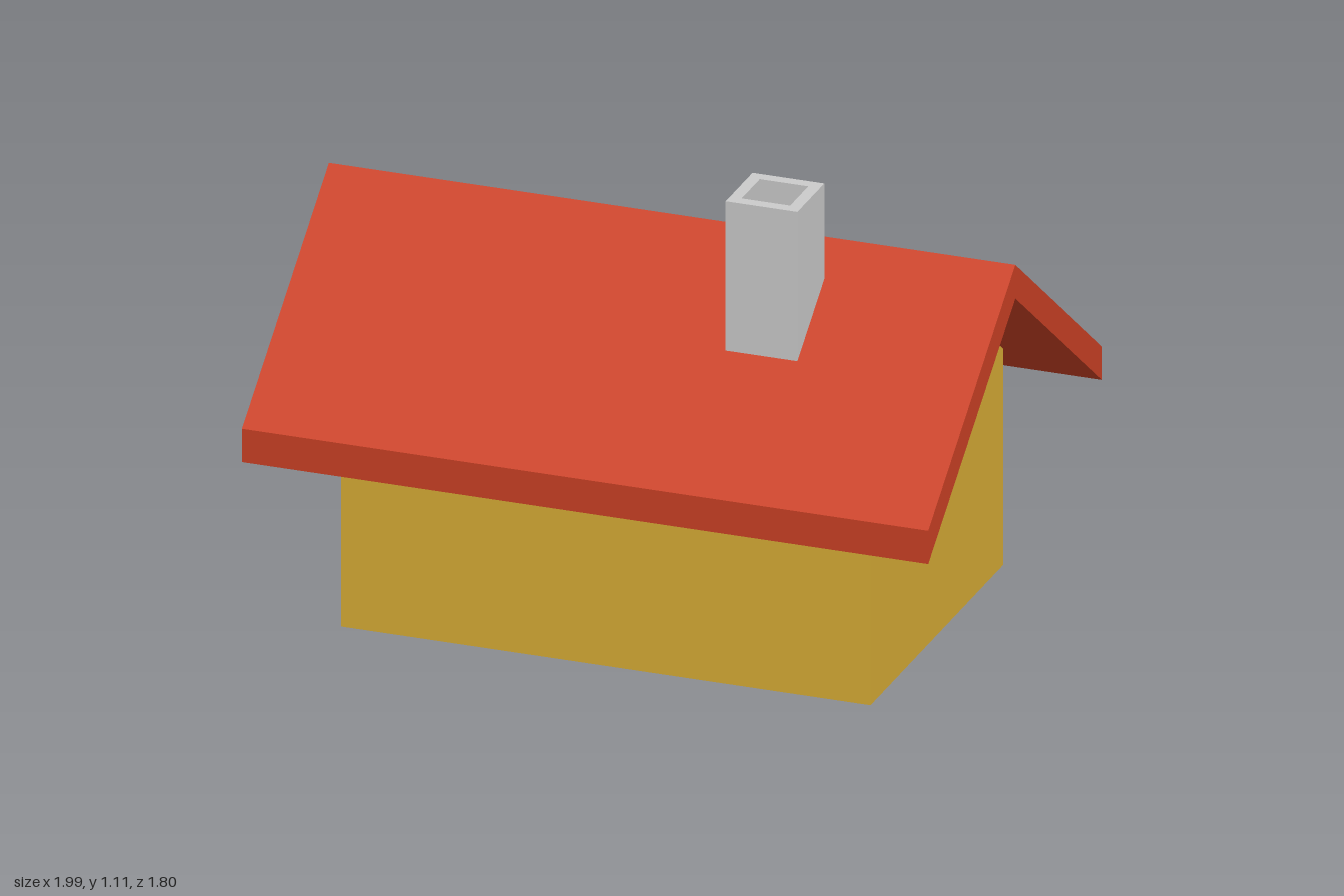
import * as THREE from 'three';

// Heights and half sizes of the house
const RIDGE = 0.94, EAVE_TOP = 0.512, EAVE_LOW = 0.43, APEX = 0.857;
const ROOF_W = 0.56, ROOF_L = 0.828;
const WALL_W = 0.427, WALL_L = 0.639;

const paint = (color) => new THREE.MeshStandardMaterial({ color, flatShading: true });

const polygon = (points) => new THREE.Shape(points.map(([x, y]) => new THREE.Vector2(x, y)));

const extrude = (shape, depth) =>
  new THREE.ExtrudeGeometry(shape, { depth, bevelEnabled: false });

// Rectangular ring, centred on its own origin
function ring(w, h, border, depth) {
  const rect = (a, b) => [[-a, -b], [a, -b], [a, b], [-a, b]];
  const shape = polygon(rect(w / 2, h / 2));
  shape.holes.push(polygon(rect(w / 2 - border, h / 2 - border).reverse()));
  return extrude(shape, depth);
}

export function createModel() {
  const model = new THREE.Group();
  // The house is built with its door towards +z, then turned
  const house = new THREE.Group();
  house.name = 'house';
  house.rotation.y = -2 * Math.PI / 3;
  model.add(house);

  const add = (parent, name, geometry, material, x = 0, y = 0, z = 0) => {
    const mesh = new THREE.Mesh(geometry, material);
    mesh.name = name;
    mesh.position.set(x, y, z);
    parent.add(mesh);
    return mesh;
  };

  // Walls: gabled prism reaching the underside of the roof
  const wallTop = EAVE_LOW + (APEX - EAVE_LOW) * (1 - WALL_W / ROOF_W);
  const gable = polygon([[-WALL_W, 0], [WALL_W, 0], [WALL_W, wallTop], [0, APEX], [-WALL_W, wallTop]]);
  add(house, 'walls', extrude(gable, 2 * WALL_L), paint(0xd8ad35), 0, 0, -WALL_L);

  // Roof: thick chevron overhanging all sides
  const chevron = polygon([
    [-ROOF_W, EAVE_LOW], [0, APEX], [ROOF_W, EAVE_LOW],
    [ROOF_W, EAVE_TOP], [0, RIDGE], [-ROOF_W, EAVE_TOP],
  ]);
  add(house, 'roof', extrude(chevron, 2 * ROOF_L), paint(0xcc4125), 0, 0, -ROOF_L);

  // Chimney: square pipe with a floor deep inside
  const chimney = new THREE.Group();
  chimney.name = 'chimney';
  chimney.position.set(0.172, 0.65, -0.313);
  house.add(chimney);
  const grey = paint(0xcccccc);
  add(chimney, 'chimneyShaft', ring(0.173, 0.173, 0.028, 0.46), grey).rotation.x = -Math.PI / 2;
  add(chimney, 'chimneyFloor', new THREE.BoxGeometry(0.118, 0.02, 0.118), grey, 0, 0.28, 0);

  // Door
  add(house, 'door', new THREE.BoxGeometry(0.163, 0.29, 0.05), paint(0x9a1c18), 0, 0.145, WALL_L + 0.005);

  // Windows: raised frame around a recessed pane
  const frameBlue = paint(0x2f4f7a), paneBlue = paint(0x0b4fa0);
  for (const side of [-1, 1]) {
    const window = new THREE.Group();
    window.name = side < 0 ? 'rightWindow' : 'leftWindow';
    window.position.set(side * 0.24, 0.355, WALL_L);
    house.add(window);
    add(window, 'windowFrame', ring(0.232, 0.312, 0.026, 0.018), frameBlue);
    add(window, 'windowPane', new THREE.BoxGeometry(0.18, 0.26, 0.016), paneBlue);
  }

  return model;
}
